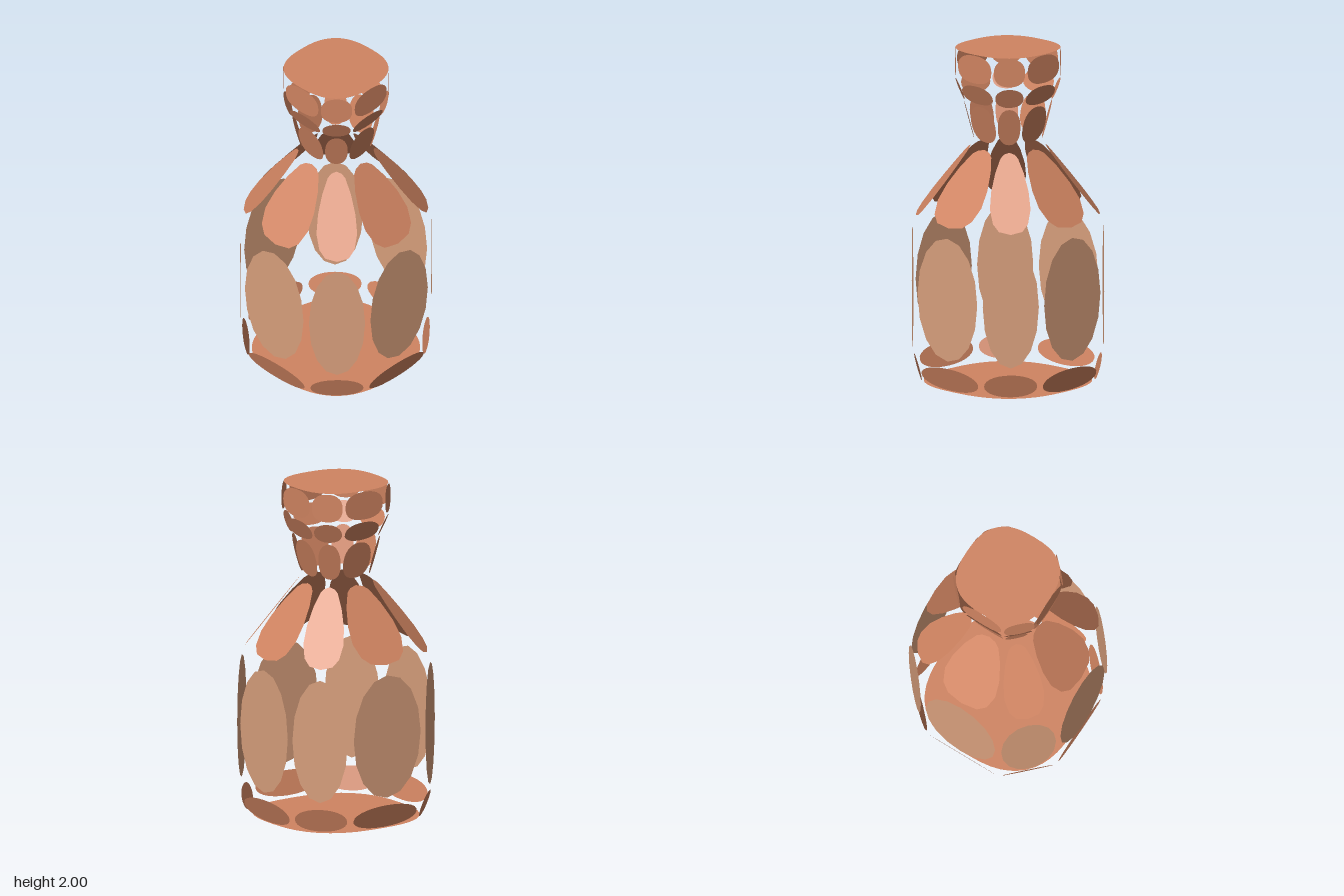
import * as THREE from 'three';

const clay = new THREE.MeshStandardMaterial({ color: 0xd08461, side: THREE.DoubleSide });
clay.name = 'clay';
const tan = new THREE.MeshStandardMaterial({ color: 0xd89f7c, side: THREE.DoubleSide });
tan.name = 'tan';

// Closed superellipse outline
function outline(halfW, halfH, power, count) {
  const points = [];
  for (let i = 0; i < count; i++) {
    const t = (i / count) * Math.PI * 2;
    const c = Math.cos(t), s = Math.sin(t);
    points.push(new THREE.Vector2(
      halfW * Math.sign(c) * Math.abs(c) ** (2 / power),
      halfH * Math.sign(s) * Math.abs(s) ** (2 / power)));
  }
  return points;
}

// Teardrop half profile (x, y from the middle), mirrored
function teardrop() {
  const half = [[0.1, -0.195], [0.15, -0.155], [0.174, -0.08], [0.16, 0.01], [0.122, 0.105], [0.075, 0.18], [0.045, 0.2]];
  const right = half.map(([x, y]) => new THREE.Vector2(x, y));
  const left = half.map(([x, y]) => new THREE.Vector2(-x, y)).reverse();
  return [new THREE.Vector2(0, -0.21), ...right, new THREE.Vector2(0, 0.21), ...left];
}

// Flat petal leaning from radius rLow at its foot to rHigh at its tip
function petalGeometry(points, widthScale, y0, y1, rLow, rHigh) {
  const geometry = new THREE.ShapeGeometry(new THREE.Shape(points));
  const p = geometry.attributes.position;
  for (let i = 0; i < p.count; i++) {
    const y = p.getY(i) + (y0 + y1) / 2;
    const r = THREE.MathUtils.lerp(rLow, rHigh, (y - y0) / (y1 - y0));
    p.setXYZ(i, p.getX(i) * widthScale, y, r);
  }
  geometry.computeVertexNormals();
  return geometry;
}

// Eight petals: wide ones on the axes, narrow ones on the corners.
// axis and corner give [foot, tip] distances; corner is measured along x.
function petalRing(name, { y, points, axis, corner, material }) {
  const ring = new THREE.Group();
  ring.name = name;
  const wide = petalGeometry(points, 1, y[0], y[1], axis[0], axis[1]);
  const narrow = petalGeometry(points, 0.685, y[0], y[1], corner[0] * Math.SQRT2, corner[1] * Math.SQRT2);
  for (let i = 0; i < 8; i++) {
    const petal = new THREE.Mesh(i % 2 ? narrow : wide, material);
    petal.name = i % 2 ? 'cornerPetal' : 'sidePetal';
    petal.rotation.y = (i * Math.PI) / 4;
    ring.add(petal);
  }
  return ring;
}

// Horizontal rounded-square plate
function plate(name, radius, y, facing) {
  const geometry = new THREE.ShapeGeometry(new THREE.Shape(outline(radius, radius, 2.6, 48)));
  geometry.rotateX(-facing * Math.PI / 2);
  const mesh = new THREE.Mesh(geometry, clay);
  mesh.name = name;
  mesh.position.y = y;
  return mesh;
}

export function createModel() {
  const bottle = new THREE.Group();
  bottle.name = 'petalBottle';
  bottle.add(
    plate('basePlate', 0.455, 0, -1),
    petalRing('baseRing', {
      y: [0.012, 0.153], points: outline(0.227, 0.0705, 2.1, 28),
      axis: [0.473, 0.518], corner: [0.357, 0.388], material: clay }),
    petalRing('bodyRing', {
      y: [0.197, 0.935], points: outline(0.24, 0.369, 2.04, 16),
      axis: [0.517, 0.517], corner: [0.395, 0.395], material: tan }),
    petalRing('shoulderRing', {
      y: [0.995, 1.415], points: teardrop(),
      axis: [0.508, 0.2], corner: [0.382, 0.155], material: clay }),
    petalRing('lowerNeckRing', {
      y: [1.455, 1.68], points: outline(0.097, 0.1125, 2.3, 24),
      axis: [0.183, 0.238], corner: [0.14, 0.182], material: clay }),
    petalRing('upperNeckRing', {
      y: [1.692, 1.812], points: outline(0.121, 0.06, 2.2, 24),
      axis: [0.235, 0.285], corner: [0.18, 0.217], material: clay }),
    petalRing('rimRing', {
      y: [1.828, 1.995], points: outline(0.134, 0.0835, 2.4, 28),
      axis: [0.284, 0.284], corner: [0.218, 0.218], material: clay }),
    plate('topPlate', 0.284, 2, 1));
  return bottle;
}
